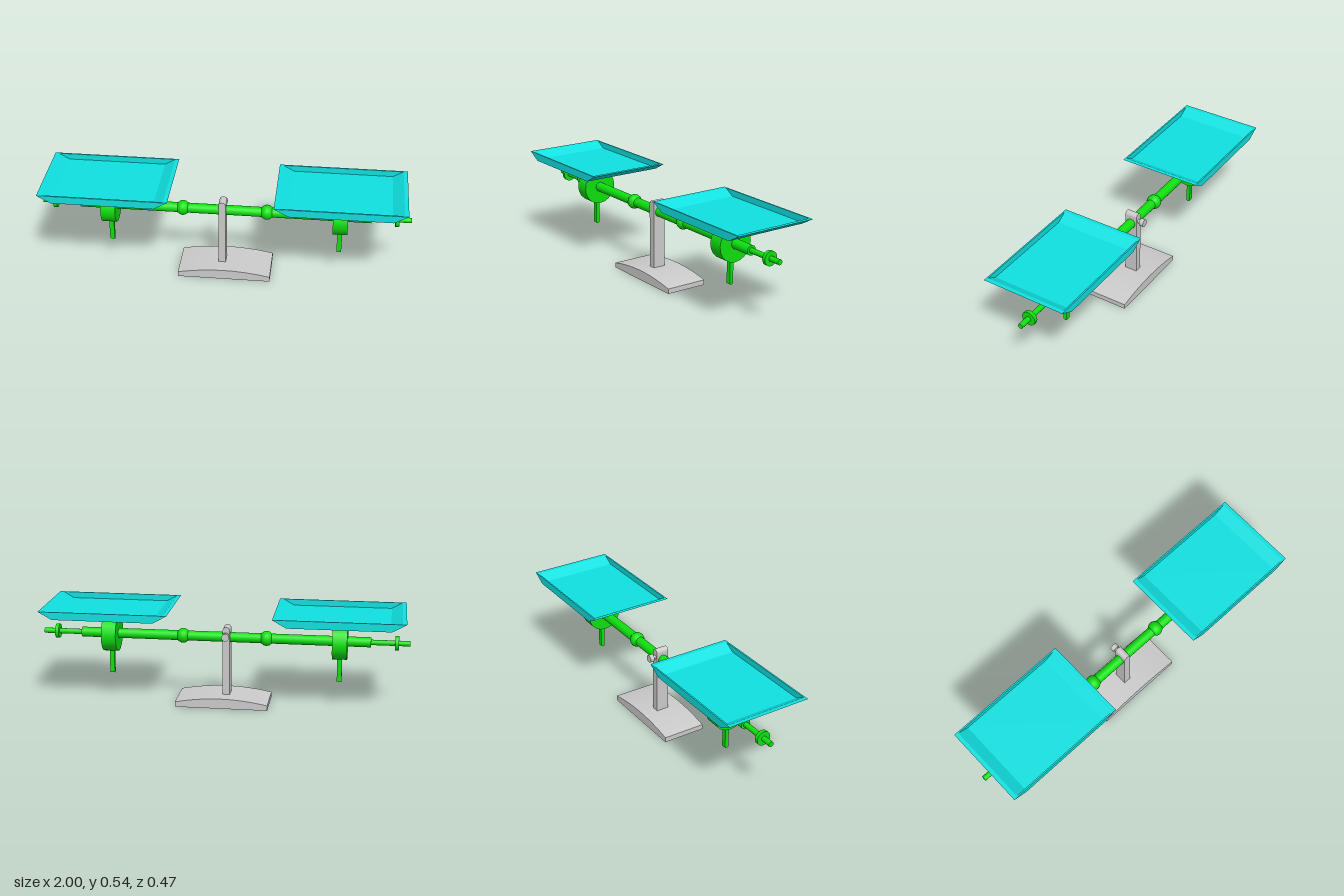
import * as THREE from 'three';

const grey = new THREE.MeshStandardMaterial({ color: 0xcccccc });
const green = new THREE.MeshStandardMaterial({ color: 0x10e010 });
const cyan = new THREE.MeshStandardMaterial({ color: 0x10e0e0, side: THREE.DoubleSide });

const BEAM_Y = 0.372;
const MID_X = -0.003; // the pans and weights hang evenly about this x

export function createModel() {
  const model = new THREE.Group();
  model.name = 'balanceScale';

  function add(parent, name, geometry, material, x = 0, y = 0, z = 0) {
    const mesh = new THREE.Mesh(geometry, material);
    mesh.name = name;
    mesh.position.set(x, y, z);
    parent.add(mesh);
    return mesh;
  }
  // Cylinder lying along x
  const rodX = (r, length, sides = 20) =>
    new THREE.CylinderGeometry(r, r, length, sides).rotateZ(Math.PI / 2);
  // Extrusion along z, centred on z = 0
  const extrudeZ = (shape, depth) =>
    new THREE.ExtrudeGeometry(shape, { depth, bevelEnabled: false, curveSegments: 12 })
      .translate(0, 0, -depth / 2);
  const polygon = (points) => new THREE.Shape(points.map(([x, y]) => new THREE.Vector2(x, y)));

  // Base with a gently arched top
  const baseShape = new THREE.Shape();
  baseShape.moveTo(-0.25, 0);
  baseShape.lineTo(0.255, 0);
  baseShape.lineTo(0.255, 0.028);
  baseShape.quadraticCurveTo(0.0025, 0.082, -0.25, 0.028);
  add(model, 'base', extrudeZ(baseShape, 0.24), grey);

  // Upright post with a rounded top
  const postShape = new THREE.Shape();
  postShape.moveTo(-0.02, 0.03);
  postShape.lineTo(0.02, 0.03);
  postShape.lineTo(0.02, 0.415);
  postShape.absarc(0, 0.415, 0.02, 0, Math.PI, false);
  add(model, 'post', extrudeZ(postShape, 0.071), grey, -0.015);

  // Clamp screw at the back of the post
  const disc = (r, depth) => new THREE.CylinderGeometry(r, r, depth, 16).rotateX(Math.PI / 2);
  add(model, 'clampStem', disc(0.011, 0.02), grey, -0.015, 0.388, -0.044);
  add(model, 'clampKnob', disc(0.021, 0.024), grey, -0.015, 0.388, -0.063);

  // Beam and the thin threaded rod running through it
  add(model, 'beam', rodX(0.027, 1.58), green, MID_X, BEAM_Y);
  add(model, 'endRod', rodX(0.0145, 2, 16), green, 0, BEAM_Y);

  // Profiles shared by both sides
  const beadProfile = [[0.02, -0.03], [0.028, -0.028], [0.038, -0.014], [0.041, 0],
    [0.038, 0.014], [0.028, 0.028], [0.02, 0.03]].map(([r, y]) => new THREE.Vector2(r, y));
  const bead = new THREE.LatheGeometry(beadProfile, 20).rotateZ(Math.PI / 2);
  const pointer = extrudeZ(polygon([[-0.0105, 0.149], [-0.004, 0.145], [0.004, 0.145],
    [0.0105, 0.149], [0.0105, 0.3], [-0.0105, 0.3]]), 0.026).rotateY(Math.PI / 2);
  const trough = extrudeZ(polygon([[-0.347, 0.538], [-0.272, 0.496], [0.272, 0.496], [0.347, 0.538],
    [0.325, 0.538], [0.268, 0.505], [-0.268, 0.505], [-0.325, 0.538]]), 0.464);
  const panWall = extrudeZ(polygon([[-0.347, 0.538], [-0.272, 0.496],
    [0.272, 0.496], [0.347, 0.538]]), 0.008);

  for (const s of [-1, 1]) {
    const side = new THREE.Group();
    side.name = s > 0 ? 'leftArm' : 'rightArm';
    side.position.x = MID_X;
    model.add(side);

    add(side, 'beamBead', bead, green, s * 0.228, BEAM_Y);
    add(side, 'drum', rodX(0.0985, 0.08), green, s * 0.625, BEAM_Y);
    add(side, 'endNut', rodX(0.039, 0.02), green, s * 0.927, BEAM_Y);
    add(side, 'pointer', pointer, green, s * 0.625);
    add(side, 'panStem', new THREE.BoxGeometry(0.026, 0.06, 0.024), green, s * 0.625, 0.468);

    // Shallow open pan: sloped ends, upright long walls
    const pan = new THREE.Group();
    pan.name = 'pan';
    pan.position.x = s * 0.625;
    side.add(pan);
    add(pan, 'panTrough', trough, cyan);
    for (const z of [-1, 1]) add(pan, 'panWall', panWall, cyan, 0, 0, z * 0.2285);
  }
  return model;
}
